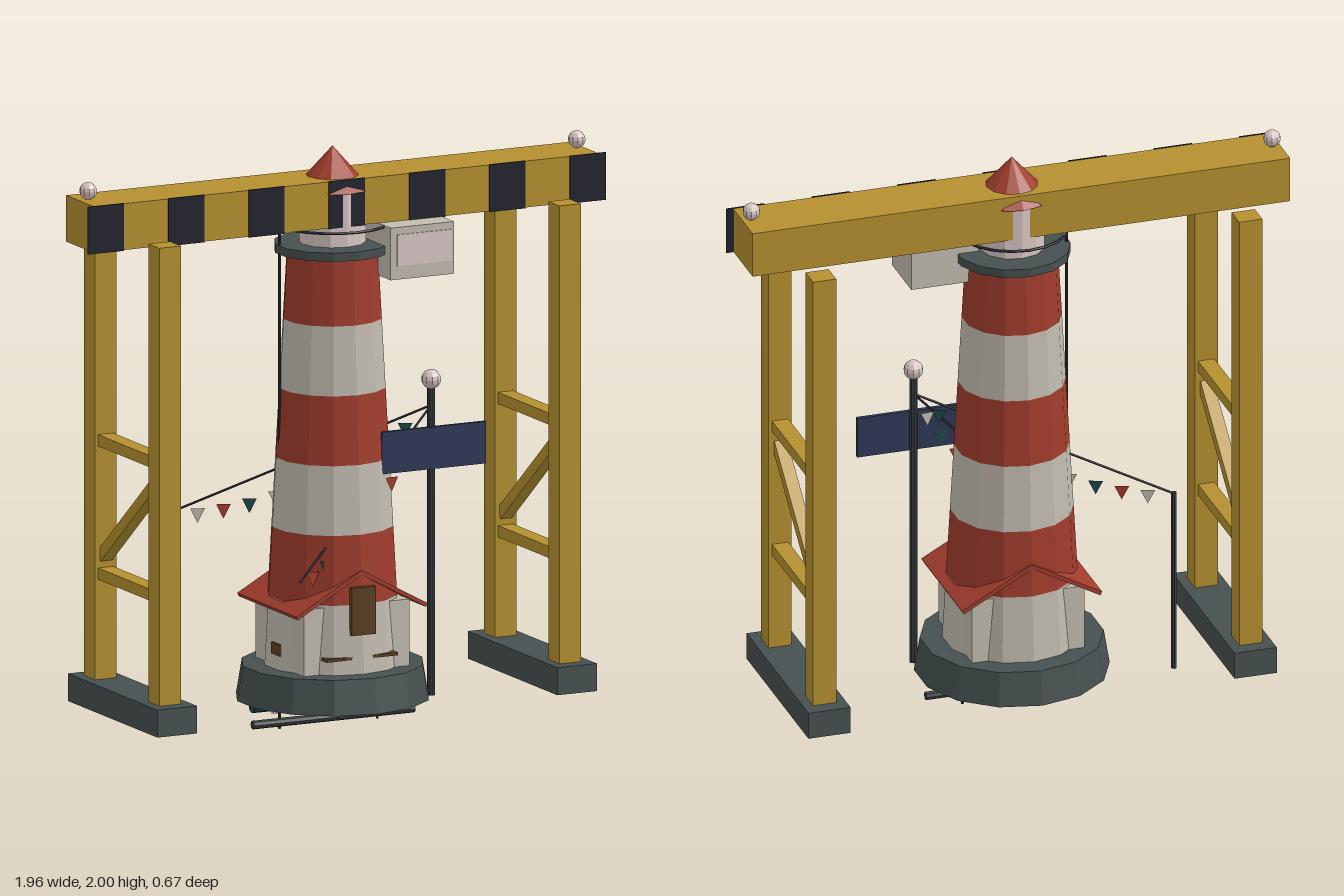
import * as THREE from 'three';

const mat = (name, color) => {
  const m = new THREE.MeshStandardMaterial({ color });
  m.name = name;
  return m;
};

export function createModel() {
  const yellow = mat('craneYellow', 0xb5902f), white = mat('offWhite', 0xc2bcb0), red = mat('brickRed', 0xa03c2c);
  const slate = mat('slate', 0x465050), navy = mat('navy', 0x2e3856), black = mat('stripeBlack', 0x21222d);
  const glass = mat('paleGlass', 0xd8c6c4), brown = mat('woodBrown', 0x5c3f20);
  const teal = mat('deepTeal', 0x1f4548), iron = mat('darkIron', 0x353b3e);
  const flags = [white, red, teal].map((m) => m.clone());
  flags.forEach((m) => { m.side = THREE.DoubleSide; });
  const model = new THREE.Group();
  model.name = 'lighthouseUnderGantry';

  // Faceted mesh helper
  const add = (name, geometry, material, x = 0, y = 0, z = 0, parent = model) => {
    const g = geometry.index ? geometry.toNonIndexed() : geometry;
    g.computeVertexNormals();
    const mesh = new THREE.Mesh(g, material);
    mesh.name = name;
    mesh.position.set(x, y, z);
    parent.add(mesh);
    return mesh;
  };
  // Box and cylinder given by their limits
  const box = (name, m, x0, x1, y0, y1, z0, z1) => add(name,
    new THREE.BoxGeometry(x1 - x0, y1 - y0, z1 - z0), m, (x0 + x1) / 2, (y0 + y1) / 2, (z0 + z1) / 2);
  const drum = (name, m, rTop, rBottom, y0, y1, sides = 14, x = 0, z = 0) => add(name,
    new THREE.CylinderGeometry(rTop, rBottom, y1 - y0, sides), m, x, (y0 + y1) / 2, z);
  const rod = (name, m, a, b, r) => {
    const d = b.clone().sub(a);
    const mesh = add(name, new THREE.CylinderGeometry(r, r, d.length(), 8), m);
    mesh.position.copy(a).add(b).multiplyScalar(0.5);
    mesh.quaternion.setFromUnitVectors(new THREE.Vector3(0, 1, 0), d.normalize());
    return mesh;
  };
  const ball = (name, m, r, x, y, z) => add(name, new THREE.SphereGeometry(r, 10, 8), m, x, y, z);
  const V = (x, y, z) => new THREE.Vector3(x, y, z);

  // Plinth and banded tower
  drum('plinth', slate, 0.312, 0.332, 0.1, 0.22);
  const bands = 6, bandHeight = 0.238;
  const radius = (i) => 0.236 - (0.079 * i) / bands;
  for (let i = 0; i < bands; i++) {
    const y = 0.22 + i * bandHeight;
    drum('towerBand', i % 2 ? red : white, radius(i + 1), radius(i), y, y + bandHeight);
  }

  // Gallery, lantern and roof cone
  drum('gallery', slate, 0.2, 0.2, 1.64, 1.67);
  add('galleryRail', new THREE.TorusGeometry(0.19, 0.005, 6, 20), iron, 0, 1.735, 0).rotation.x = Math.PI / 2;
  drum('lantern', glass, 0.113, 0.113, 1.66, 1.86, 12);
  add('roofCone', new THREE.ConeGeometry(0.13, 0.145, 12), red, 0, 1.9275, 0);

  // Keeper's house wrapped around the tower foot
  box('houseWalls', white, -0.2, 0.2, 0.22, 0.45, -0.18, 0.18);
  for (const s of [-1, 1]) {
    const slab = add('houseRoof', new THREE.BoxGeometry(0.282, 0.014, 0.44), red, s * 0.122, 0.5, 0);
    slab.rotation.z = -s * Math.atan2(0.135, 0.245);
  }
  box('door', brown, -0.045, 0.045, 0.355, 0.52, 0.215, 0.235);
  box('frontLedge', brown, -0.135, 0.135, 0.27, 0.28, 0.185, 0.224);
  box('sidePlate', brown, -0.232, -0.225, 0.27, 0.31, 0, 0.06);

  // Gantry beam with striped plates and end bulbs
  box('gantryBeam', yellow, -0.955, 0.955, 1.74, 1.9, -0.105, 0.105);
  for (let i = -3; i <= 3; i++) {
    const x = i * 0.304;
    box('hazardStripe', black, x - 0.068, x + 0.068, 1.738, 1.902, 0.104, 0.109);
  }

  // Gantry legs, mirrored in x and z
  for (const s of [-1, 1]) {
    const x = s * 0.757;
    ball('beamBulb', glass, 0.03, s * 0.925, 1.932, 0);
    box('footing', slate, x - 0.075, x + 0.075, 0.1, 0.195, -0.333, 0.333);
    for (const t of [-1, 1]) {
      box('gantryColumn', yellow, x - 0.041, x + 0.041, 0.098, 1.775, t * 0.24 - 0.041, t * 0.24 + 0.041);
    }
    for (const y of [0.56, 1.02]) {
      box('crossBrace', yellow, x - 0.029, x + 0.029, y - 0.02, y + 0.02, -0.21, 0.21);
    }
    const diagonal = add('diagonalBrace', new THREE.BoxGeometry(0.045, 0.04, 0.53), yellow, x, 0.785, 0);
    diagonal.rotation.x = -Math.atan2(0.33, 0.41);
  }

  // Hanging floodlight box
  box('floodlight', white, 0.12, 0.36, 1.56, 1.74, -0.01, 0.198);
  box('floodlightPane', glass, 0.143, 0.35, 1.607, 1.715, 0.197, 0.202);

  // Lamp post with sign
  drum('lampPost', iron, 0.014, 0.014, 0.1, 1.18, 8, 0.305, 0.135);
  ball('lampGlobe', glass, 0.034, 0.305, 1.19, 0.135);
  box('signBoard', navy, 0.105, 0.5, 0.885, 1.03, 0.147, 0.161);

  // Bunting strung through the tower to the lamp post
  drum('buntingPost', iron, 0.01, 0.01, 0.1, 0.755, 8, -0.515, -0.185);
  const knot = V(0.305, 1.1, 0.135);
  [V(-0.515, 0.75, -0.185), V(-0.215, 0.545, 0.18)].forEach((start, line) => {
    rod('buntingLine', iron, start, knot, 0.004);
    const shape = new THREE.Shape([[-0.025, 0], [0, -0.05], [0.025, 0]].map((p) => new THREE.Vector2(...p)));
    for (let i = 0; i < 9; i++) {
      const t = (i + 1) / 10;
      const p = start.clone().lerp(knot, t);
      const flag = add('buntingFlag', new THREE.ShapeGeometry(shape), flags[(i + line) % 3],
        p.x, p.y - 0.08 * Math.sin(Math.PI * t), p.z);
      flag.rotation.y = -Math.atan2(knot.z - start.z, knot.x - start.x);
    }
  });

  // Down cable, under-slung pipes, hangers and small lights
  rod('downCable', iron, V(-0.185, 0, -0.03), V(-0.185, 1.74, -0.03), 0.005);
  rod('hanger', iron, V(0.185, 0, -0.03), V(0.185, 0.12, -0.03), 0.005);
  rod('tealPipe', teal, V(-0.305, 0.095, 0), V(0.302, 0.095, 0), 0.025);
  rod('lowerRail', iron, V(-0.305, 0.03, 0.005), V(0.305, 0.03, 0.005), 0.015);
  add('pipeLoop', new THREE.TorusGeometry(0.045, 0.005, 6, 16), iron, 0, 0.1, 0);
  for (const x of [-0.23, 0.07]) {
    drum('underLight', glass, 0.012, 0.012, 0.068, 0.1, 8, x, 0.022);
  }
  return model;
}
